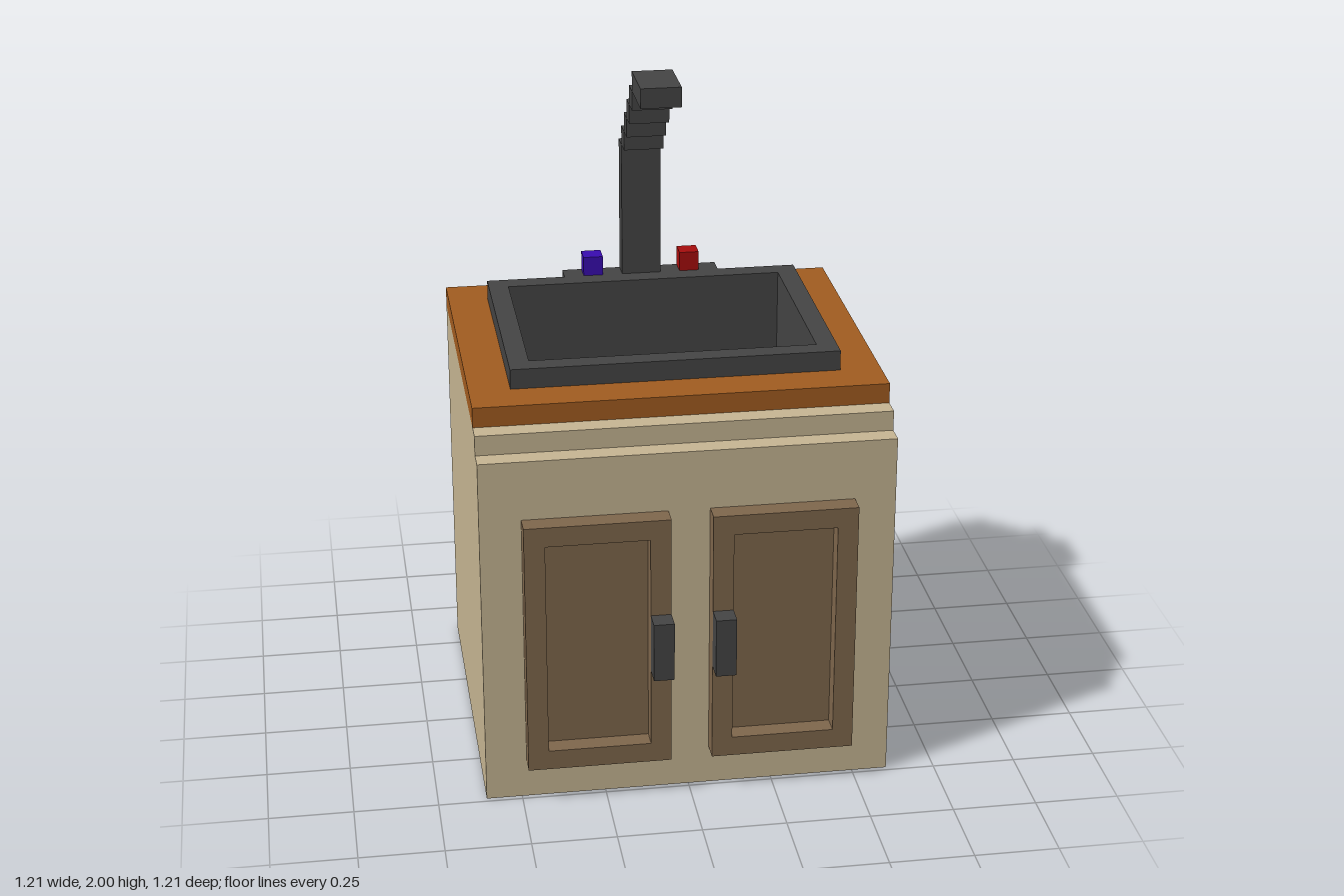
import * as THREE from 'three';

const U = 2 / 33; // one block of the grid the model is built on

const material = (name, color) => {
  const m = new THREE.MeshStandardMaterial({ color });
  m.name = name;
  return m;
};

// Closed shape from points given in blocks, with an optional rectangular hole
function makeShape(points, hole) {
  const toVec = ([x, y]) => new THREE.Vector2(x * U, y * U);
  const shape = new THREE.Shape(points.map(toVec));
  if (hole) shape.holes.push(new THREE.Path(rect(...hole).map(toVec)));
  return shape;
}

const rect = (x0, y0, x1, y1) => [[x0, y0], [x1, y0], [x1, y1], [x0, y1]];

const extrude = (shape, depth) =>
  new THREE.ExtrudeGeometry(shape, { depth: depth * U, bevelEnabled: false });

// Flat outline (x, -z) raised from y0 to y1
function slab(points, hole, y0, y1) {
  return extrude(makeShape(points, hole), y1 - y0).rotateX(-Math.PI / 2).translate(0, y0 * U, 0);
}

// Box between two corners given in blocks
function block(x0, y0, z0, x1, y1, z1) {
  return new THREE.BoxGeometry((x1 - x0) * U, (y1 - y0) * U, (z1 - z0) * U)
    .translate((x0 + x1) * U / 2, (y0 + y1) * U / 2, (z0 + z1) * U / 2);
}

// Stepped side profile across the full width, left open under the countertop
function cabinetGeometry() {
  const profile = [[10, 0], [10, 19], [-6, 19], [-7, 19], [-7, 18], [-8, 18], [-8, 0]];
  const geo = extrude(makeShape(profile), 20).rotateY(Math.PI / 2).translate(-10 * U, 0, 0);
  const p = geo.attributes.position;
  const kept = [];
  for (let i = 0; i < p.count; i += 3) {
    const covered = [i, i + 1, i + 2].every(
      (j) => p.getY(j) > 18.9 * U && p.getZ(j) < 6.1 * U);
    if (!covered) kept.push(i, i + 1, i + 2);
  }
  geo.clearGroups();
  geo.setIndex(kept);
  return geo;
}

export function createModel() {
  const cream = material('cream cabinet', 0xc8b794);
  const wood = material('orange wood', 0xa35d20);
  const brown = material('brown door', 0x80684d);
  const metal = material('dark metal', 0x454545);
  const blue = material('cold blue', 0x390cb2);
  const red = material('hot red', 0xa80d0d);

  const model = new THREE.Group();
  model.name = 'sinkCabinet';
  const add = (name, geo, mat, parent = model) => {
    const mesh = new THREE.Mesh(geo, mat);
    mesh.name = name;
    parent.add(mesh);
  };

  // Cabinet and countertop, with an opening for the basin
  add('cabinet', cabinetGeometry(), cream);
  add('countertop', slab(rect(-10, -6, 10, 10), [-7.5, -3.5, 7.5, 7.5], 19, 20), wood);

  // Basin with a raised rim and a tap ledge at the back
  const rim = [[-8, -4], [8, -4], [8, 8], [4, 8], [4, 9], [-4, 9], [-4, 8], [-8, 8]];
  add('basin', slab(rim, [-7, -3, 7, 7], 14, 21), metal);
  add('basinFloor', block(-7, 13, -7, 7, 14, 3), metal);

  // Faucet: column, stepped neck and spout
  const faucet = new THREE.Group();
  faucet.name = 'faucet';
  model.add(faucet);
  add('column', block(-1, 21, -9, 1, 28, -8), metal, faucet);
  for (let i = 0; i < 4; i++) {
    add('neckStep', block(-1, 28 + i, -8 + i, 1, 29 + i, -7 + i), metal, faucet);
  }
  add('spout', block(-1, 32, -4, 1, 33, -1), metal, faucet);

  // Tap knobs
  add('coldKnob', block(-3, 21, -9, -2, 22, -8), blue);
  add('hotKnob', block(2, 21, -9, 3, 22, -8), red);

  // Mirrored doors: frame, recessed panel and handle
  for (const [side, s] of [['left', 1], ['right', -1]]) {
    const span = (a, b) => (s > 0 ? [a, b] : [-b, -a]);
    const [d0, d1] = span(1, 8);
    const [p0, p1] = span(2, 7);
    const [h0, h1] = span(1, 2);
    const door = new THREE.Group();
    door.name = side + 'Door';
    model.add(door);
    const frame = extrude(makeShape(rect(d0, 2, d1, 15), [p0, 3, p1, 14]), 1);
    add('doorFrame', frame.translate(0, 0, 8 * U), brown, door);
    add('doorPanel', block(p0, 3, 8, p1, 14, 8.06), brown, door);
    add('handle', block(h0, 7, 9, h1, 10, 10), metal, door);
  }
  return model;
}
